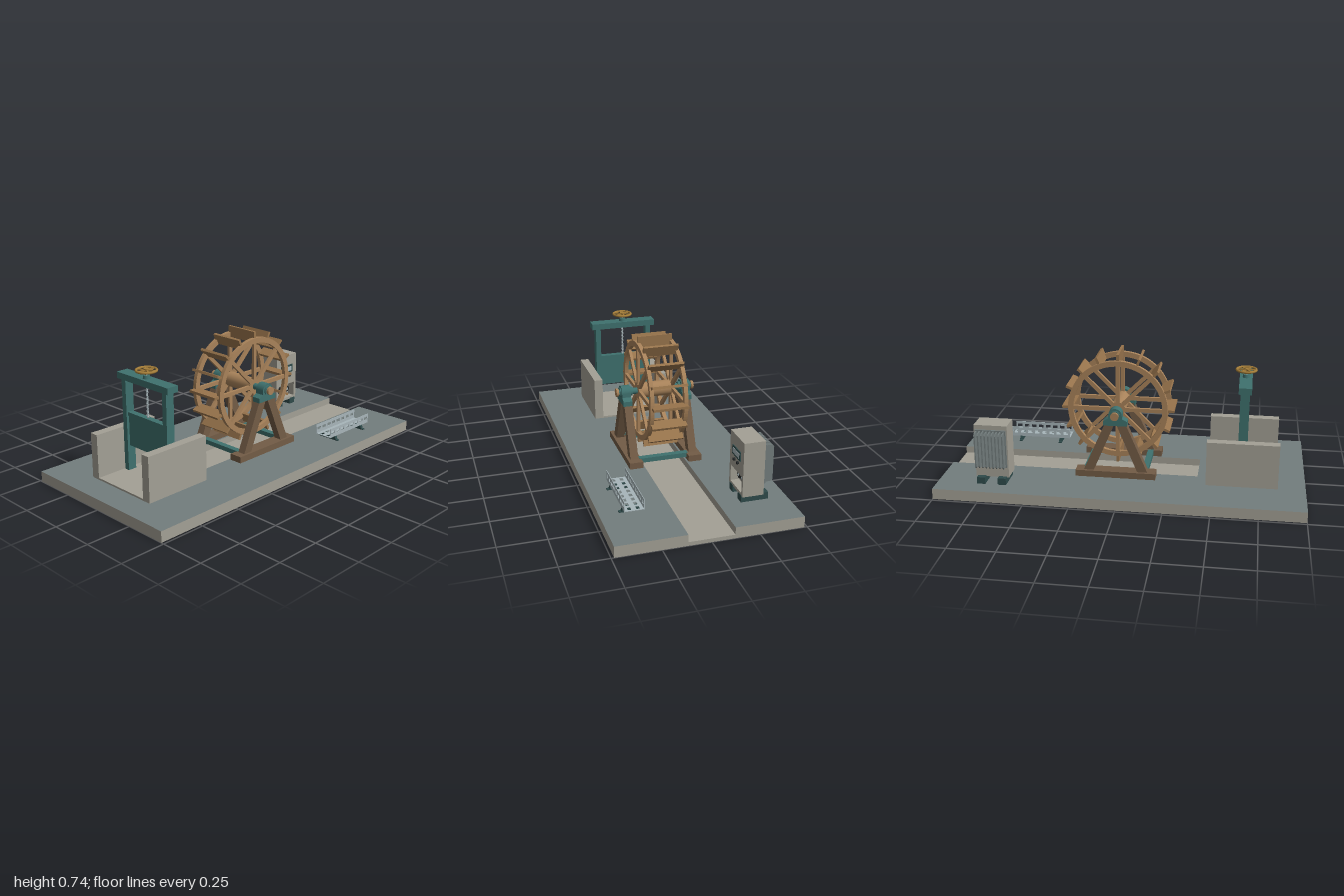
import * as THREE from 'three';

const mat = (name, color) => {
  const m = new THREE.MeshStandardMaterial({ color });
  m.name = name;
  return m;
};

export function createModel() {
  const concrete = mat('concrete', 0xa3a095), deckGrey = mat('deckGrey', 0x737d7d);
  const teal = mat('tealPaint', 0x3f716e), darkTeal = mat('darkTeal', 0x2f4b4b);
  const wood = mat('wood', 0xa9835a), paddleWood = mat('paddleWood', 0x98744c);
  const darkWood = mat('darkWood', 0x735c46), brass = mat('brass', 0xa37c38);
  const steel = mat('steel', 0xa8b6ba), black = mat('black', 0x25292a);
  const root = new THREE.Group();

  const group = (name, x = 0, y = 0, z = 0, parent = root) => {
    const g = new THREE.Group();
    g.name = name;
    g.position.set(x, y, z);
    parent.add(g);
    return g;
  };
  const add = (parent, name, geo, m, x = 0, y = 0, z = 0) => {
    const mesh = new THREE.Mesh(geo, m);
    mesh.name = name;
    mesh.position.set(x, y, z);
    parent.add(mesh);
    return mesh;
  };
  // Box given by its minimum and maximum on each axis
  const box = (parent, name, m, x0, x1, y0, y1, z0, z1) =>
    add(parent, name, new THREE.BoxGeometry(x1 - x0, y1 - y0, z1 - z0), m,
      (x0 + x1) / 2, (y0 + y1) / 2, (z0 + z1) / 2);
  const poly = pts => new THREE.Shape(pts.map(p => new THREE.Vector2(...p)));
  const rect = (cx, cy, w, h) => [
    [cx - w / 2, cy - h / 2], [cx + w / 2, cy - h / 2],
    [cx + w / 2, cy + h / 2], [cx - w / 2, cy + h / 2]];
  // Extrusion centred on its depth
  const slab = (shape, depth, curveSegments = 24) =>
    new THREE.ExtrudeGeometry(shape, { depth, bevelEnabled: false, curveSegments })
      .translate(0, 0, -depth / 2);
  // Cylinder lying along z
  const rodZ = (r, len, n = 24) => new THREE.CylinderGeometry(r, r, len, n).rotateX(Math.PI / 2);

  // Base slab with a tail race cut into it
  const base = group('base');
  box(base, 'foundation', concrete, -1, 1, 0, 0.02, -0.485, 0.485);
  const deckShape = poly([[-1, -0.485], [1, -0.485], [1, -0.12], [-0.41, -0.12],
    [-0.41, 0.12], [1, 0.12], [1, 0.485], [-1, 0.485]]);
  add(base, 'deck', slab(deckShape, 0.04).rotateX(-Math.PI / 2), [deckGrey, concrete], 0, 0.04, 0);

  // Intake flume
  const flume = group('flume');
  box(flume, 'flumeFloor', concrete, -0.85, -0.46, 0.06, 0.07, -0.18, 0.18);
  for (const s of [-1, 1])
    add(flume, 'flumeWall', new THREE.BoxGeometry(0.39, 0.25, 0.05), concrete, -0.655, 0.185, s * 0.203);

  // Sluice gate
  const gate = group('sluiceGate', -0.652);
  for (const s of [-1, 1])
    add(gate, 'gatePost', new THREE.BoxGeometry(0.05, 0.52, 0.03), teal, 0, 0.32, s * 0.158);
  add(gate, 'gateBeam', new THREE.BoxGeometry(0.07, 0.035, 0.392), teal, 0, 0.5965, 0);
  add(gate, 'gatePanel', new THREE.BoxGeometry(0.02, 0.19, 0.29), teal, 0, 0.305, 0);
  add(gate, 'panelRail', new THREE.BoxGeometry(0.034, 0.02, 0.286), teal, 0, 0.39, 0);
  add(gate, 'screwNut', new THREE.CylinderGeometry(0.017, 0.02, 0.018, 16), teal, 0, 0.622, 0);
  add(gate, 'screwRod', new THREE.CylinderGeometry(0.005, 0.005, 0.275, 12), steel, 0, 0.5275, 0);
  const helix = Array.from({ length: 97 }, (_, i) => {
    const a = i * Math.PI / 6;
    return new THREE.Vector3(0.004 * Math.cos(a), 0.4 + 0.18 * i / 96, 0.004 * Math.sin(a));
  });
  add(gate, 'screwThread', new THREE.TubeGeometry(new THREE.CatmullRomCurve3(helix), 192, 0.0035, 6), steel);

  // Handwheel on the screw
  const hand = group('handwheel', 0, 0.657, 0, gate);
  add(hand, 'handRim', new THREE.TorusGeometry(0.053, 0.007, 10, 40).rotateX(Math.PI / 2), brass);
  add(hand, 'handHub', new THREE.CylinderGeometry(0.014, 0.014, 0.018, 20), brass);
  for (let i = 0; i < 3; i++)
    add(hand, 'handSpokes', new THREE.BoxGeometry(0.104, 0.007, 0.008), brass).rotation.y = i * Math.PI / 3;

  // Water wheel
  const wheel = group('waterWheel', 0.042, 0.427, 0);
  const ring = new THREE.Shape().absarc(0, 0, 0.278, 0, Math.PI * 2);
  ring.holes.push(new THREE.Path().absarc(0, 0, 0.248, 0, Math.PI * 2, true));
  const ringGeo = slab(ring, 0.022, 48);
  const spokeGeo = new THREE.BoxGeometry(0.215, 0.022, 0.016).translate(0.146, 0, 0);
  const paddleGeo = new THREE.BoxGeometry(0.062, 0.014, 0.196).translate(0.282, 0, 0);
  for (const s of [-1, 1]) {
    add(wheel, 'wheelRim', ringGeo, wood, 0, 0, s * 0.094);
    for (let i = 0; i < 8; i++)
      add(wheel, 'wheelSpoke', spokeGeo, wood, 0, 0, s * 0.094).rotation.z = i * Math.PI / 4;
  }
  for (let i = 0; i < 16; i++)
    add(wheel, 'paddle', paddleGeo, paddleWood).rotation.z = i * Math.PI / 8;
  add(wheel, 'hubDrum', rodZ(0.043, 0.204, 32), wood);
  add(wheel, 'axle', rodZ(0.018, 0.424), teal);

  // Timber trestles with bearings
  const bearing = poly([[-0.065, -0.062], [0.065, -0.062], [0.065, -0.035], [0.038, -0.02]]);
  bearing.lineTo(0.037, 0).absarc(0, 0, 0.037, 0, Math.PI).lineTo(-0.038, -0.02).lineTo(-0.065, -0.035);
  const bearingGeo = slab(bearing, 0.05);
  const leg = s => poly([[s * 0.122, 0.095], [s * 0.178, 0.095], [s * 0.055, 0.38], [s * 0.002, 0.38]]);
  for (const s of [-1, 1]) {
    const t = group('trestle', 0.042, 0, s * 0.168);
    add(t, 'sill', new THREE.BoxGeometry(0.447, 0.036, 0.075), darkWood, 0, 0.078, 0);
    for (const k of [-1, 1]) add(t, 'trestleLeg', slab(leg(k), 0.045), darkWood);
    add(t, 'bearing', bearingGeo, teal, 0, 0.427, 0.003 * s);
    add(t, 'bearingCollar', rodZ(0.026, 0.07), teal, 0, 0.427, 0);
    add(t, 'axleCap', rodZ(0.023, 0.014), wood, 0, 0.427, s * 0.048);
    add(root, 'crossBeam', new THREE.BoxGeometry(0.034, 0.026, 0.28), teal, 0.045 + s * 0.163, 0.084, 0);
  }

  // Control cabinet with an open terminal bay
  const cabinet = group('controlCabinet', 0.697, 0, 0);
  box(cabinet, 'cabinetBody', concrete, -0.092, 0.092, 0.093, 0.392, -0.352, -0.285);
  const face = poly(rect(0, 0.2425, 0.184, 0.299));
  face.holes.push(poly(rect(0, 0.155, 0.15, 0.09)));
  add(cabinet, 'cabinetFront', slab(face, 0.048), concrete, 0, 0, -0.261);
  add(cabinet, 'displayFrame', new THREE.BoxGeometry(0.108, 0.05, 0.006), darkTeal, 0, 0.302, -0.235);
  add(cabinet, 'displayScreen', new THREE.BoxGeometry(0.084, 0.028, 0.004), steel, 0, 0.302, -0.232);
  for (const s of [-1, 1]) {
    add(cabinet, 'button', rodZ(0.008, 0.012, 16), black, s * 0.023, 0.257, -0.232);
    add(cabinet, 'cabinetFoot', new THREE.BoxGeometry(0.046, 0.038, 0.148), darkTeal, s * 0.058, 0.079, -0.309);
  }
  for (let i = -1; i <= 1; i++) {
    add(cabinet, 'socket', rodZ(0.02, 0.016, 20), black, i * 0.046, 0.152, -0.278);
    add(cabinet, 'socketPin', rodZ(0.008, 0.02, 12), steel, i * 0.046, 0.152, -0.277);
  }
  // Cooling fins on the back
  box(cabinet, 'finPlate', deckGrey, -0.085, 0.085, 0.152, 0.367, -0.362, -0.351);
  const finGeo = slab(poly([[-0.36, 0.158], [-0.36, 0.362], [-0.397, 0.36], [-0.403, 0.35],
    [-0.403, 0.17], [-0.397, 0.16]]), 0.007).rotateY(-Math.PI / 2);
  for (let i = 0; i < 9; i++)
    add(cabinet, 'coolingFin', finGeo, deckGrey, -0.076 + i * 0.019, 0, 0);

  // Perforated cable tray on two stands
  const tray = group('cableTray', 0.573, 0, 0.317);
  const slotted = (h, rows, slotH) => {
    const s = poly(rect(0, 0, 0.36, h));
    for (const y of rows)
      for (let i = 0; i < 8; i++) s.holes.push(poly(rect((i - 3.5) * 0.0445, y, 0.028, slotH)));
    return slab(s, 0.003);
  };
  const sideGeo = slotted(0.055, [0.002], 0.018);
  for (const s of [-1, 1]) add(tray, 'traySide', sideGeo, steel, 0, 0.1155, s * 0.051);
  add(tray, 'trayFloor', slotted(0.102, [-0.022, 0.022], 0.018).rotateX(-Math.PI / 2), steel, 0, 0.0895, 0);
  const standGeo = slab(poly([[-0.067, 0.06], [0.067, 0.06], [0.067, 0.065], [0.054, 0.066],
    [0.046, 0.088], [-0.046, 0.088], [-0.054, 0.066], [-0.067, 0.065]]), 0.018).rotateY(-Math.PI / 2);
  for (const s of [-1, 1]) add(tray, 'trayStand', standGeo, darkTeal, s * 0.122, 0, 0);

  return root;
}
